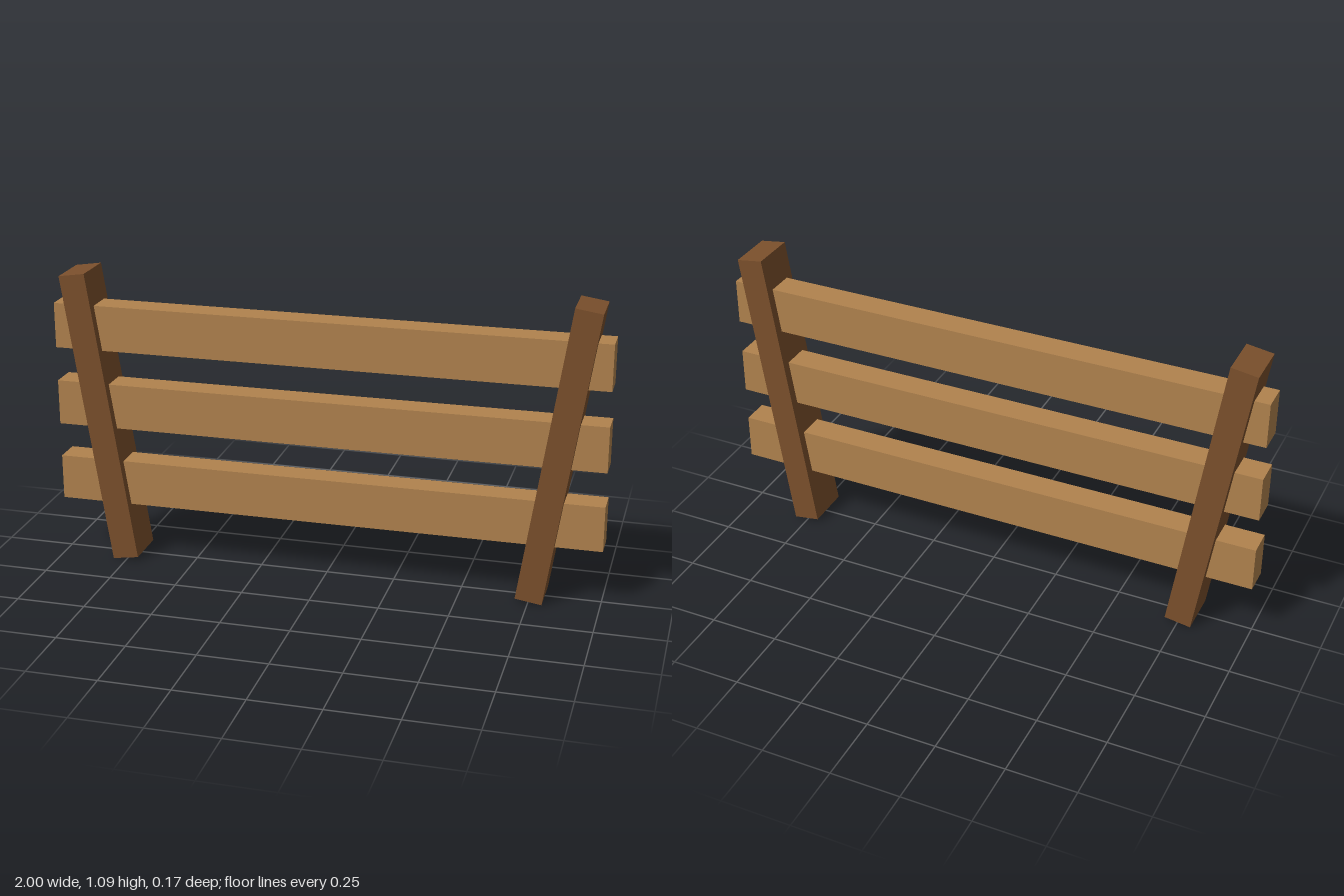
import * as THREE from 'three';

export function createModel() {
  const model = new THREE.Group();
  model.name = 'fence';

  const lightWood = new THREE.MeshStandardMaterial({ color: 0xb1834e });
  lightWood.name = 'lightWood';
  const darkWood = new THREE.MeshStandardMaterial({ color: 0x7b502c });
  darkWood.name = 'darkWood';

  const addBox = (name, size, position, material) => {
    const mesh = new THREE.Mesh(new THREE.BoxGeometry(...size), material);
    mesh.name = name;
    mesh.position.set(...position);
    model.add(mesh);
    return mesh;
  };

  // Three horizontal rails running through the posts
  ['lowerRail', 'middleRail', 'upperRail'].forEach((name, i) => {
    addBox(name, [2, 0.166, 0.1], [0, 0.295 + i * 0.292, 0], lightWood);
  });

  // Two posts leaning outwards at the top
  for (const side of [-1, 1]) {
    const name = side > 0 ? 'leftPost' : 'rightPost';
    const post = addBox(name, [0.097, 1.084, 0.166], [side * 0.833, 0.543, 0], darkWood);
    post.rotation.z = -side * 0.15;
  }

  return model;
}
